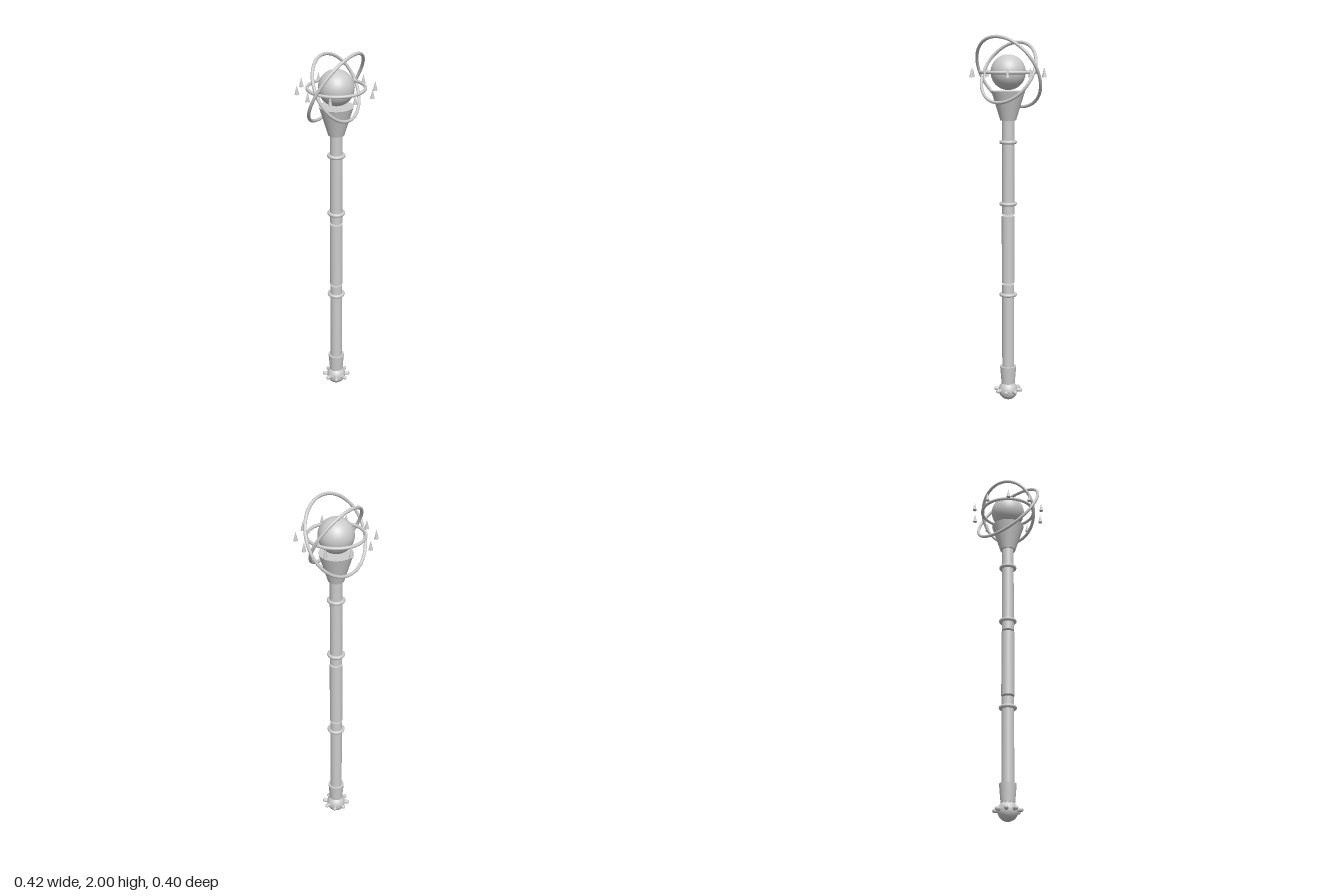
import * as THREE from 'three';

export function createModel() {
  const group = new THREE.Group();
  const grey = new THREE.MeshStandardMaterial({ color: 0xcccccc });
  grey.name = 'light grey';

  function add(name, geometry, y, parent = group) {
    const mesh = new THREE.Mesh(geometry, grey);
    mesh.name = name;
    mesh.position.y = y;
    parent.add(mesh);
    return mesh;
  }
  // Upright cylinder or frustum between two heights
  const column = (name, rTop, rBottom, y0, y1) =>
    add(name, new THREE.CylinderGeometry(rTop, rBottom, y1 - y0, 32), (y0 + y1) / 2);
  const ring = (name, radius, tube, y) =>
    add(name, new THREE.TorusGeometry(radius, tube, 12, 72), y);

  // Shaft in three lengths with narrow gaps
  column('lowerShaft', 0.033, 0.033, 0.15, 0.66);
  column('grip', 0.035, 0.035, 0.671, 1.04);
  column('upperShaft', 0.033, 0.033, 1.051, 1.58);
  for (const y of [0.603, 1.107, 1.44]) ring('shaftBand', 0.038, 0.01, y).rotation.x = Math.PI / 2;

  // Pommel: collar, ball and short studs
  column('pommelCollar', 0.045, 0.037, 0.095, 0.193);
  add('pommelBall', new THREE.SphereGeometry(0.053, 32, 20), 0.053);
  const studs = new THREE.Group();
  studs.name = 'pommelStuds';
  group.add(studs);
  for (let i = 0; i < 8; i++) {
    const a = (i / 8) * Math.PI * 2;
    const stud = add('pommelStud', new THREE.CapsuleGeometry(0.011, 0.022, 6, 12), 0.057, studs);
    stud.position.x = Math.cos(a) * 0.057;
    stud.position.z = Math.sin(a) * 0.057;
    stud.rotation.set(0, -a, Math.PI / 2);
  }

  // Head: cup and orb
  column('cup', 0.09, 0.042, 1.555, 1.71);
  const centre = 1.808;
  add('orb', new THREE.SphereGeometry(0.093, 48, 32), centre);

  // Orbiting rings, one level and two tilted
  ring('levelRing', 0.147, 0.0085, centre).rotation.x = Math.PI / 2;
  ring('outerRing', 0.208, 0.0085, centre).rotation.set(0.5, 0.2, 0);
  ring('innerRing', 0.178, 0.0085, centre).rotation.set(-0.5, 0.2, 0);

  // Circle of floating spikes
  const spikes = new THREE.Group();
  spikes.name = 'spikes';
  group.add(spikes);
  for (let i = 0; i < 10; i++) {
    const a = (i / 10) * Math.PI * 2;
    const spike = add('spike', new THREE.ConeGeometry(0.0115, 0.05, 12), centre, spikes);
    spike.position.x = Math.cos(a) * 0.2;
    spike.position.z = Math.sin(a) * 0.2;
  }
  return group;
}
